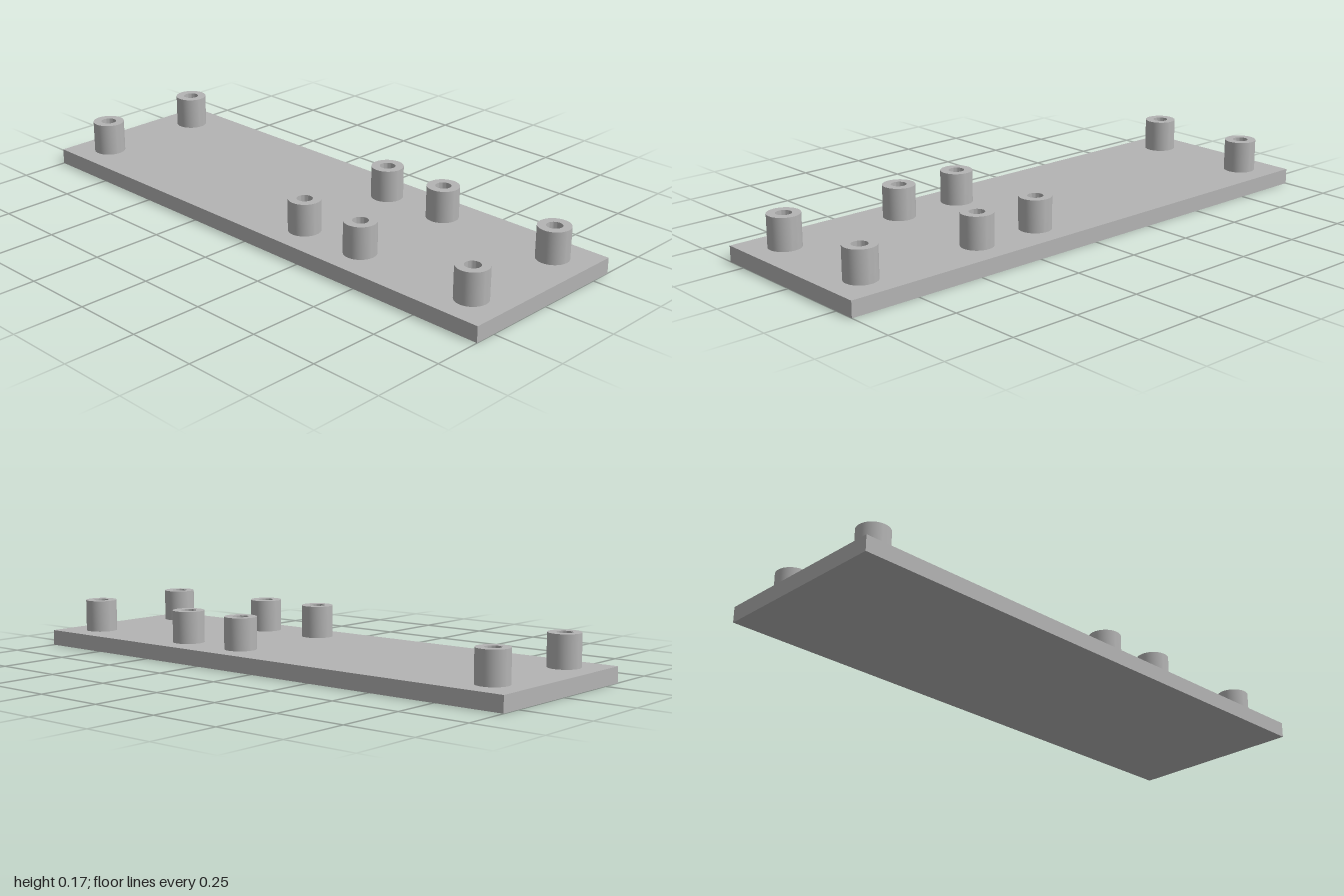
import * as THREE from 'three';
import { toCreasedNormals } from 'three/addons/utils/BufferGeometryUtils.js';

const PLATE_H = 0.055, TOP = 0.168;
const OUTER_R = 0.056, HOLE_R = 0.027;

export function createModel() {
  const model = new THREE.Group();
  model.name = 'mountingPlate';
  const grey = new THREE.MeshStandardMaterial({ color: 0xb4b4b4 });
  grey.name = 'grey';

  // flat base plate
  const plate = new THREE.Mesh(new THREE.BoxGeometry(2, PLATE_H, 0.655), grey);
  plate.name = 'basePlate';
  plate.position.y = PLATE_H / 2;
  model.add(plate);

  // hollow standoff: outer wall, rim, then bore down to the plate
  const profile = [
    [OUTER_R, PLATE_H], [OUTER_R, TOP], [HOLE_R, TOP], [HOLE_R, PLATE_H],
  ].map(([r, y]) => new THREE.Vector2(r, y));
  const standoffGeometry = toCreasedNormals(new THREE.LatheGeometry(profile, 48), Math.PI / 6);

  // four pairs of standoffs along the plate
  for (const x of [-0.876, 0.161, 0.413, 0.873]) {
    for (const z of [-0.202, 0.202]) {
      const standoff = new THREE.Mesh(standoffGeometry, grey);
      standoff.name = 'standoff';
      standoff.position.set(x, 0, z);
      model.add(standoff);
    }
  }
  return model;
}
